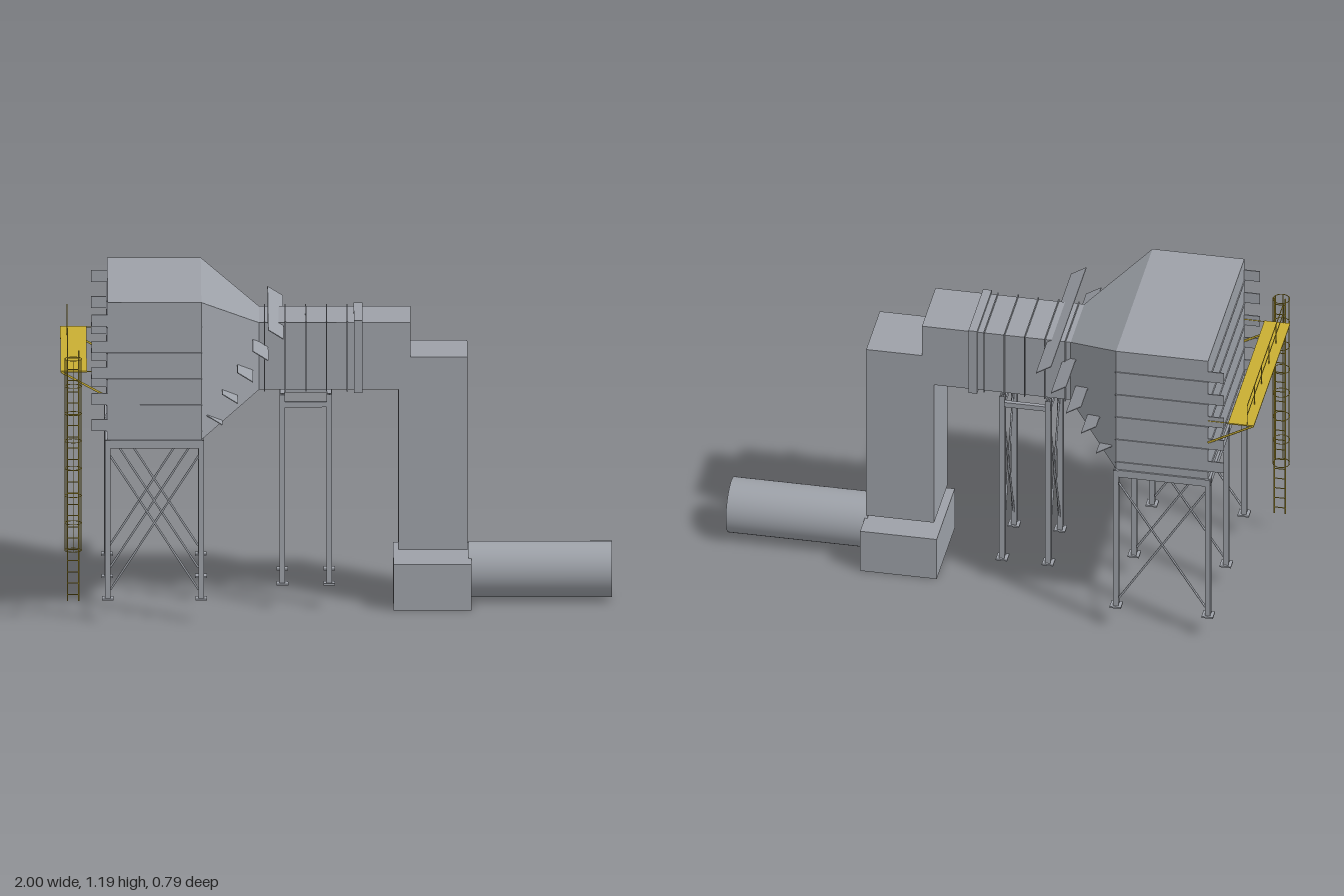
import * as THREE from 'three';

const steel = new THREE.MeshStandardMaterial({ name: 'steelGrey', color: 0x9da1a8 });
const yellow = new THREE.MeshStandardMaterial({ name: 'safetyYellow', color: 0xc9ae33 });
const ZC = -0.033; // centre line of the ducting

export function createModel() {
  const model = new THREE.Group();
  model.name = 'airIntake';

  const add = (name, geo, mat = steel, parent = model) => {
    const m = new THREE.Mesh(geo, mat);
    m.name = name;
    parent.add(m);
    return m;
  };
  // Box given by its limits on each axis
  const box = (name, x0, x1, y0, y1, z0, z1, mat = steel, parent = model) => {
    const m = add(name, new THREE.BoxGeometry(x1 - x0, y1 - y0, z1 - z0), mat, parent);
    m.position.set((x0 + x1) / 2, (y0 + y1) / 2, (z0 + z1) / 2);
    return m;
  };
  // Round bar between two points
  const bar = (name, a, b, r, mat = steel, parent = model) => {
    const p = new THREE.Vector3(...a), q = new THREE.Vector3(...b);
    const d = q.clone().sub(p);
    const m = add(name, new THREE.CylinderGeometry(r, r, d.length(), 6), mat, parent);
    m.position.copy(p).add(q).multiplyScalar(0.5);
    m.quaternion.setFromUnitVectors(new THREE.Vector3(0, 1, 0), d.normalize());
    return m;
  };
  // H-section column with a foot plate
  const column = (name, x, z, top) => {
    const g = new THREE.Group();
    g.name = name;
    model.add(g);
    for (const s of [-1, 1]) {
      const c = z + s * 0.011;
      box('flange', x - 0.01, x + 0.01, 0.09, top, c - 0.002, c + 0.002, steel, g);
    }
    box('web', x - 0.002, x + 0.002, 0.09, top, z - 0.01, z + 0.01, steel, g);
    box('footPlate', x - 0.021, x + 0.021, 0.085, 0.091, z - 0.021, z + 0.021, steel, g);
  };

  // Filter house
  const X0 = -0.83, X1 = -0.49, Z0 = -0.375, Z1 = 0.309;
  box('filterHouse', X0, X1, 0.68, 1.193, Z0, Z1);
  for (let i = 0; i < 5; i++) {
    const y = 0.735 + i * 0.0975;
    box('panelRib', X0 - 0.004, X1 + 0.003, y - 0.024, y - 0.021, Z0 - 0.004, Z1 + 0.004);
    for (const z of [Z0 + 0.002, Z1 - 0.002])
      box('hoodEndPlate', -0.888, X0, y - 0.022, y + 0.022, z - 0.002, z + 0.002);
  }

  // Transition from the filter house to the duct
  const ring = (x, y0, y1, z0, z1) => [[x, y0, z0], [x, y0, z1], [x, y1, z1], [x, y1, z0]];
  const big = ring(X1, 0.68, 1.193, Z0, Z1);
  const small = ring(-0.28, 0.815, 1.065, -0.16, 0.095);
  const pts = [];
  for (let i = 0; i < 4; i++) {
    const j = (i + 1) % 4;
    pts.push(...big[i], ...small[j], ...big[j], ...big[i], ...small[i], ...small[j]);
  }
  const loft = new THREE.BufferGeometry();
  loft.setAttribute('position', new THREE.Float32BufferAttribute(pts, 3));
  loft.computeVertexNormals();
  // Corners run so that the faces point away from the axis
  const p = loft.attributes.position, n = loft.attributes.normal;
  const out = (p.getY(0) - 0.94) * n.getY(0);
  if (out < 0) {
    const flipped = [];
    for (let i = 0; i < pts.length; i += 9)
      flipped.push(...pts.slice(i, i + 3), ...pts.slice(i + 6, i + 9), ...pts.slice(i + 3, i + 6));
    loft.setAttribute('position', new THREE.Float32BufferAttribute(flipped, 3));
    loft.computeVertexNormals();
  }
  add('transition', loft);

  // Sloping slats across the transition
  for (let i = 0; i < 5; i++) {
    const slat = add('slat', new THREE.BoxGeometry(0.066, 0.003, 0.662));
    slat.position.set(-0.22 - i * 0.0555, 1.07 - i * 0.08, ZC);
    slat.rotation.z = -0.56;
  }

  // Horizontal duct, stiffeners and joint flange
  box('duct', -0.28, 0.27, 0.815, 1.065, -0.16, 0.095);
  for (const x of [-0.26, -0.185, -0.11, -0.035, 0.04])
    box('ductStiffener', x - 0.002, x + 0.002, 0.809, 1.071, -0.166, 0.101);
  box('ductFlange', 0.064, 0.096, 0.804, 1.075, -0.171, 0.106);

  // Downcomer, plenum and outlet pipe
  box('downcomer', 0.225, 0.476, 0.215, 0.937, -0.16, 0.095);
  box('plenum', 0.207, 0.49, 0, 0.172, -0.203, 0.137);
  const pipe = add('outletPipe', new THREE.CylinderGeometry(0.102, 0.102, 0.52, 48));
  pipe.rotation.z = Math.PI / 2;
  pipe.position.set(0.74, 0.113, ZC);

  // Filter house support frame: three braced pairs of columns
  for (const z of [Z0 + 0.003, ZC, Z1 - 0.003]) {
    for (const x of [X0, X1]) column('houseColumn', x, z, 0.68);
    box('crossBeam', X0, X1, 0.65, 0.68, z - 0.009, z + 0.009);
    bar('houseBrace', [X0 + 0.01, 0.62, z], [X1 - 0.01, 0.12, z], 0.004);
    bar('houseBrace', [X0 + 0.01, 0.12, z], [X1 - 0.01, 0.62, z], 0.004);
  }
  for (const x of [X0, X1]) box('longBeam', x - 0.009, x + 0.009, 0.65, 0.68, Z0, Z1);

  // Duct support frame
  const D0 = -0.145, D1 = 0.079;
  for (const x of [-0.195, -0.025]) {
    for (const z of [D0, D1]) column('ductColumn', x, z, 0.795);
    box('ductCrossBeam', x - 0.008, x + 0.008, 0.747, 0.767, D0, D1);
    bar('ductBrace', [x, 0.12, D0], [x, 0.74, D1], 0.004);
    bar('ductBrace', [x, 0.12, D1], [x, 0.74, D0], 0.004);
  }
  for (const z of [D0, D1]) box('ductLongBeam', -0.195, -0.025, 0.747, 0.767, z - 0.008, z + 0.008);

  // Access platform with struts and handrail
  box('platform', -1, -0.905, 0.932, 0.937, -0.38, 0.305, yellow);
  for (const z of [-0.376, 0.303]) {
    bar('platformStrut', [-0.997, 0.932, z], [X0, 0.84, z], 0.004, yellow);
    bar('platformBracket', [-0.905, 0.934, z], [X0, 0.934, z], 0.0015, yellow);
  }
  for (const y of [0.978, 1.018])
    bar('handrail', [-0.975, y, -0.376], [-0.975, y, 0.303], 0.0018, yellow);
  for (let i = 0; i < 6; i++) {
    const z = -0.376 + i * 0.1358;
    bar('railPost', [-0.975, 0.935, z], [-0.975, 1.018, z], 0.0018, yellow);
  }

  // Caged ladder
  const LZ = 0.335;
  for (const x of [-0.976, -0.935]) bar('ladderStile', [x, 0.085, LZ], [x, 1.02, LZ], 0.0025, yellow);
  for (let y = 0.11; y < 1.0; y += 0.042)
    bar('ladderRung', [-0.976, y, LZ], [-0.935, y, LZ], 0.0018, yellow);
  const CX = -0.955, CZ = 0.367, R = 0.031;
  for (let i = 0; i < 8; i++) {
    const hoop = add('cageHoop', new THREE.TorusGeometry(R, 0.0015, 5, 20), yellow);
    hoop.rotation.x = Math.PI / 2;
    hoop.position.set(CX, 0.283 + i * 0.102, CZ);
  }
  for (let i = 0; i < 5; i++) {
    const a = (i / 4) * Math.PI * 1.2 - 0.1 * Math.PI;
    const x = CX + R * Math.cos(a), z = CZ + R * Math.sin(a);
    bar('cageStrip', [x, 0.283, z], [x, 0.997, z], 0.0015, yellow);
  }
  return model;
}
